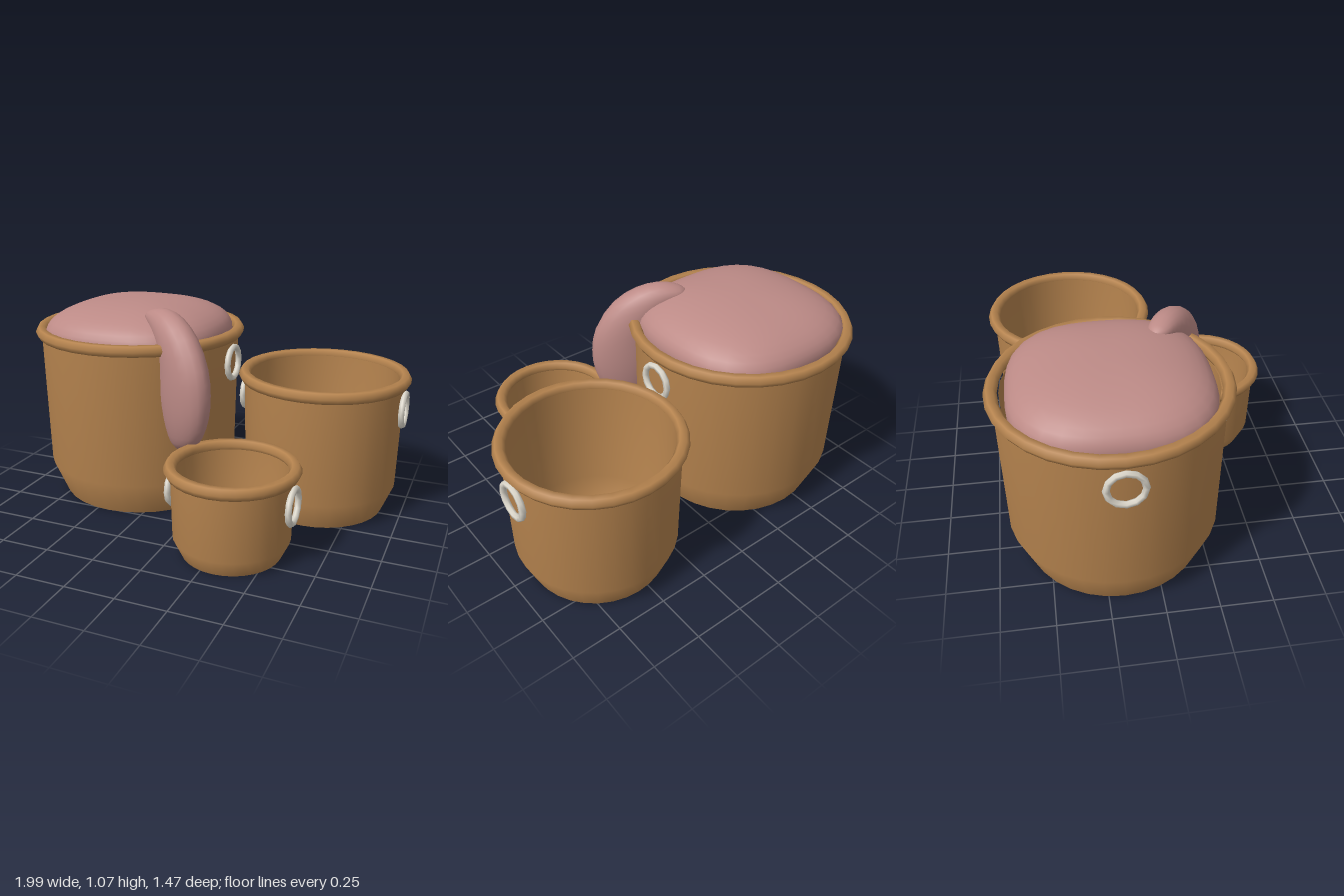
import * as THREE from 'three';
import { mergeVertices } from 'three/addons/utils/BufferGeometryUtils.js';

const material = (name, color) => {
  const m = new THREE.MeshStandardMaterial({ color });
  m.name = name;
  return m;
};

function add(parent, name, geometry, mat) {
  const mesh = new THREE.Mesh(geometry, mat);
  mesh.name = name;
  parent.add(mesh);
  return mesh;
}

const lathe = (...points) =>
  new THREE.LatheGeometry(points.map(([r, y]) => new THREE.Vector2(r, y)), 32);

// Shares vertices across seams so the normals come out smooth
function smooth(geometry) {
  geometry.deleteAttribute('uv');
  geometry.deleteAttribute('normal');
  const merged = mergeVertices(geometry, 1e-5);
  merged.computeVertexNormals();
  return merged;
}

// Open basket: r is the mouth radius, h the height of the rim's centre
function basket(name, x, z, r, h, ringY, tan, ivory) {
  const g = new THREE.Group();
  g.name = name;
  g.position.set(x, 0, z);
  const floor = 0.05 * h;
  add(g, 'outerWall', lathe([0.83 * r, 0], [0.97 * r, 0.2 * h], [r, h]), tan);
  add(g, 'underside', lathe([0, 0], [0.83 * r, 0]), tan);
  add(g, 'innerWall', lathe([0.93 * r, h], [0.89 * r, 0.22 * h], [0.755 * r, floor]), tan);
  add(g, 'floor', lathe([0.755 * r, floor], [0, floor]), tan);
  const rim = add(g, 'rim', new THREE.TorusGeometry(r, 0.031, 6, 32), tan);
  rim.rotation.x = -Math.PI / 2;
  rim.position.y = h;
  // A ring handle on each side
  for (const side of [1, -1]) {
    const ring = add(g, side > 0 ? 'leftRing' : 'rightRing',
      new THREE.TorusGeometry(0.083, 0.016, 6, 12), ivory);
    ring.rotation.y = Math.PI / 2;
    ring.position.set(side * (r + 0.006), ringY, 0);
  }
  return g;
}

// Plump cushion: a sphere pushed out to a squarish superellipsoid
function cushionGeometry() {
  const geometry = new THREE.SphereGeometry(1, 36, 24);
  const p = geometry.attributes.position;
  const v = new THREE.Vector3();
  for (let i = 0; i < p.count; i++) {
    v.fromBufferAttribute(p, i);
    const flat = (Math.abs(v.x) ** 2.8 + Math.abs(v.z) ** 2.8) ** (2.3 / 2.8);
    v.divideScalar((flat + Math.abs(v.y) ** 2.3) ** (1 / 2.3));
    p.setXYZ(i, v.x * 0.467, v.y * 0.18, v.z * 0.467);
  }
  return smooth(geometry);
}

// Bent, flattened drape: elliptical rings spanning an outer and an inner edge
function drapeGeometry() {
  const curve = (pts) => new THREE.CatmullRomCurve3(pts.map((q) => new THREE.Vector3(...q)));
  // [along, height, half thickness]
  const outer = curve([[-0.05, 0.365, 0], [0.1, 0.45, 0.055], [0.16, 0.57, 0.085],
    [0.174, 0.7, 0.097], [0.15, 0.83, 0.097], [0.06, 0.97, 0.092], [-0.06, 1.05, 0.082],
    [-0.17, 1.075, 0.067], [-0.27, 1.058, 0.045], [-0.315, 1.03, 0]]);
  const inner = curve([[-0.05, 0.365, 0], [-0.11, 0.42, 0], [-0.15, 0.53, 0],
    [-0.175, 0.66, 0], [-0.175, 0.78, 0], [-0.19, 0.86, 0], [-0.215, 0.92, 0],
    [-0.26, 0.965, 0], [-0.295, 1.0, 0], [-0.315, 1.03, 0]]);
  const rows = 28, sides = 18, pos = [], index = [];
  for (let i = 0; i <= rows; i++) {
    const t = (1 - Math.cos((i / rows) * Math.PI)) / 2;
    const o = outer.getPoint(t), n = inner.getPoint(t);
    const b = Math.max(0, o.z);
    for (let j = 0; j < sides; j++) {
      const a = (j / sides) * Math.PI * 2;
      const k = (1 + Math.cos(a)) / 2;
      pos.push(n.x + (o.x - n.x) * k, n.y + (o.y - n.y) * k, b * Math.sin(a));
      if (i === rows) continue;
      const p = i * sides + j, q = i * sides + ((j + 1) % sides);
      index.push(p, p + sides, q, q, p + sides, q + sides);
    }
  }
  const geometry = new THREE.BufferGeometry();
  geometry.setAttribute('position', new THREE.Float32BufferAttribute(pos, 3));
  geometry.setIndex(index);
  return smooth(geometry);
}

export function createModel() {
  const tan = material('tan wicker', 0xb5834e);
  const ivory = material('ivory ring', 0xddd8cc);
  const pink = material('dusty pink cloth', 0xbc8a86);

  const model = new THREE.Group();
  model.name = 'basketSet';
  model.add(
    basket('largeBasket', -0.438, -0.177, 0.528, 0.897, 0.755, tan, ivory),
    basket('mediumBasket', 0.555, -0.295, 0.41, 0.71, 0.57, tan, ivory),
    basket('smallBasket', 0.317, 0.415, 0.29, 0.427, 0.285, tan, ivory),
  );

  add(model, 'cushion', cushionGeometry(), pink).position.set(-0.438, 0.88, -0.177);

  // Cloth hanging over the large basket's rim
  const drape = add(model, 'drape', drapeGeometry(), pink);
  drape.position.set(-0.01, 0, 0.215);
  drape.rotation.y = -Math.atan2(0.54, 0.84);
  return model;
}
